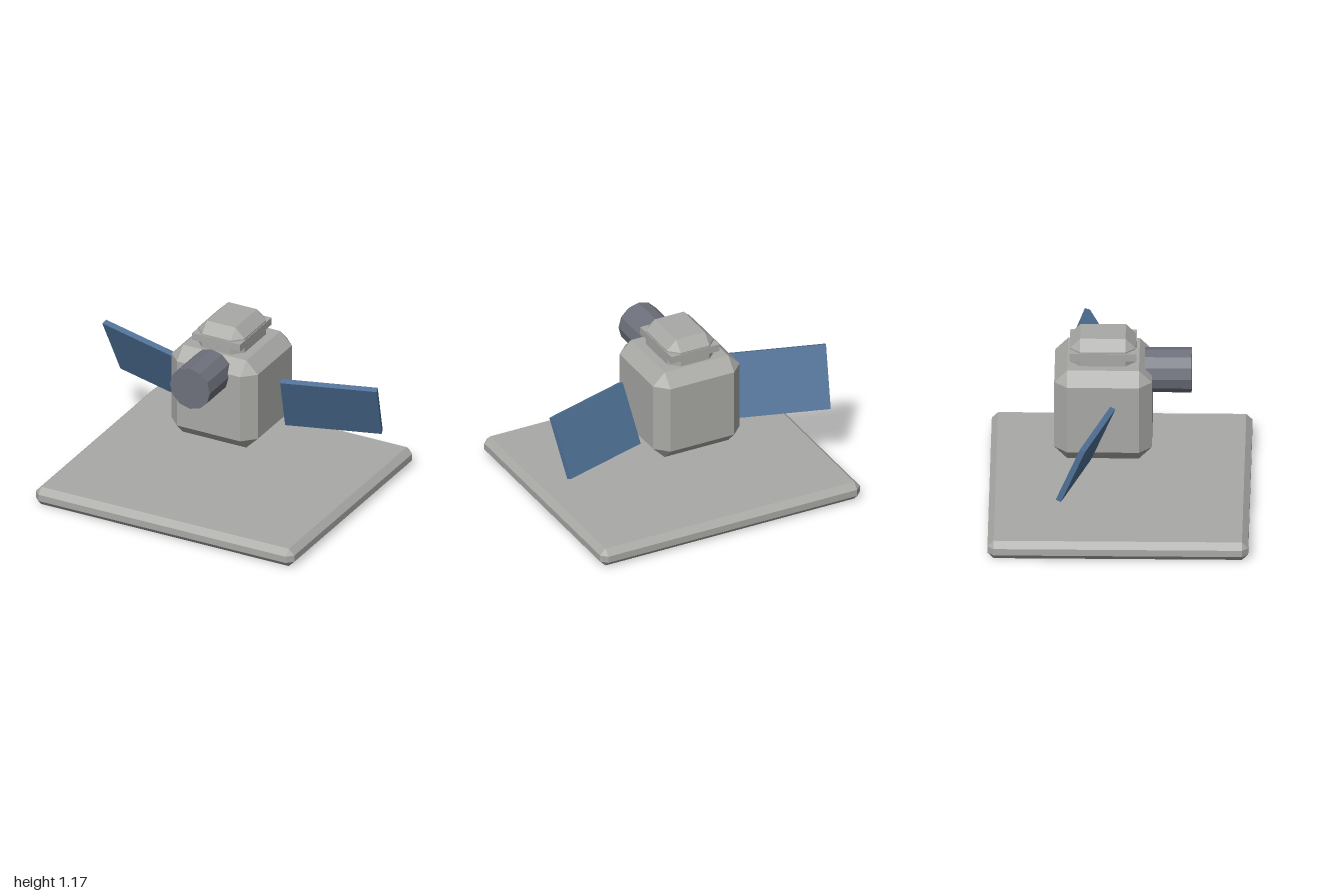
import * as THREE from 'three';
import { ConvexGeometry } from 'three/addons/geometries/ConvexGeometry.js';

// Box with every edge and corner chamfered by b
function chamferBox(w, h, d, b) {
  const pts = [];
  for (const sx of [-1, 1]) for (const sy of [-1, 1]) for (const sz of [-1, 1]) {
    const x = w / 2, y = h / 2, z = d / 2;
    pts.push(
      new THREE.Vector3(sx * x, sy * (y - b), sz * (z - b)),
      new THREE.Vector3(sx * (x - b), sy * y, sz * (z - b)),
      new THREE.Vector3(sx * (x - b), sy * (y - b), sz * z)
    );
  }
  return new ConvexGeometry(pts);
}

export function createModel() {
  const model = new THREE.Group();
  model.name = 'model';

  const material = (name, color) => {
    const m = new THREE.MeshStandardMaterial({ color, flatShading: true });
    m.name = name;
    return m;
  };
  const grey = material('warmGrey', 0xa9a9a6);
  const slate = material('slateGrey', 0x6e717c);
  const blue = material('panelBlue', 0x4f7096);

  const add = (name, geometry, mat, x, y, z) => {
    const mesh = new THREE.Mesh(geometry, mat);
    mesh.name = name;
    mesh.position.set(x, y, z);
    model.add(mesh);
    return mesh;
  };

  // Ground slab and floating body
  add('base', chamferBox(1.88, 0.125, 1.67, 0.04), grey, 0, 0.0625, 0);
  add('body', chamferBox(0.626, 0.63, 0.626, 0.083), grey, 0, 0.695, -0.105);

  // Turret cap with a square-cornered rim plate
  add('cap', chamferBox(0.338, 0.325, 0.42, 0.065), grey, 0, 1.0125, -0.108);
  add('capRim', new THREE.BoxGeometry(0.348, 0.05, 0.428), grey, 0, 1.075, -0.107);

  // Forward barrel
  const barrel = new THREE.CylinderGeometry(0.145, 0.145, 0.3, 12);
  barrel.rotateX(Math.PI / 2);
  add('barrel', barrel, slate, 0, 0.903, 0.31);

  // Swept and tilted side panels
  for (const side of [1, -1]) {
    const name = side > 0 ? 'leftPanel' : 'rightPanel';
    const panel = add(name, new THREE.BoxGeometry(0.63, 0.42, 0.037), blue, side * 0.668, 0.632, -0.21);
    panel.rotation.set(0.4, side * 0.298, 0, 'YXZ');
  }
  return model;
}
